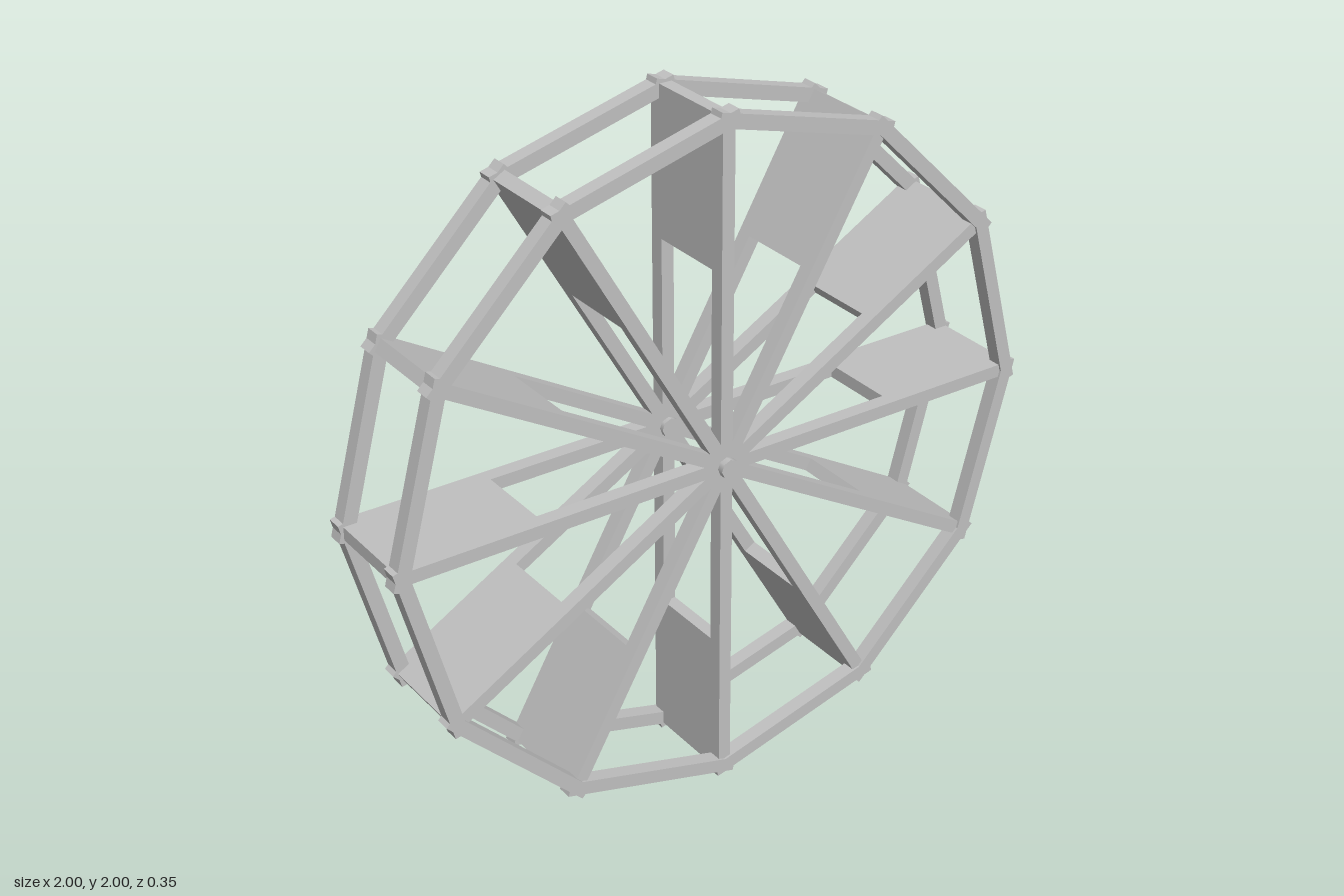
import * as THREE from 'three';

const SIDES = 12;
const STEP = (Math.PI * 2) / SIDES;
const wood = new THREE.MeshStandardMaterial({ color: 0xc0c0c0 });
wood.name = 'plain grey';

function add(parent, name, geometry, x = 0, y = 0, z = 0) {
  const mesh = new THREE.Mesh(geometry, wood);
  mesh.name = name;
  mesh.position.set(x, y, z);
  parent.add(mesh);
  return mesh;
}

// Flat frame across the whole wheel: two spokes joined by a paddle at each end
function paddleFrameGeometry(thickness) {
  const rect = (target, w, h) => {
    target.moveTo(-w, -h);
    target.lineTo(w, -h);
    target.lineTo(w, h);
    target.lineTo(-w, h);
    target.closePath();
    return target;
  };
  const shape = rect(new THREE.Shape(), 0.985, 0.157);
  shape.holes.push(rect(new THREE.Path(), 0.56, 0.113));
  const geometry = new THREE.ExtrudeGeometry(shape, { depth: thickness, bevelEnabled: false });
  geometry.translate(0, 0, -thickness / 2);
  geometry.rotateX(Math.PI / 2); // frame width runs along the axle
  return geometry;
}

export function createModel() {
  const model = new THREE.Group();
  model.name = 'waterWheel';
  const wheel = new THREE.Group();
  wheel.name = 'wheel';
  wheel.position.y = 1;
  model.add(wheel);

  // Spokes and paddles, one frame per diameter
  const frame = paddleFrameGeometry(0.038);
  for (let i = 0; i < SIDES / 2; i++) {
    add(wheel, 'paddleFrame', frame).rotation.z = i * STEP;
  }

  // Front and back rims of straight beams that overlap at the corners
  const beam = new THREE.BoxGeometry(0.04, 0.566, 0.044);
  const stub = new THREE.CylinderGeometry(0.028, 0.028, 0.075, 8);
  stub.rotateX(Math.PI / 2);
  for (const side of [1, -1]) {
    for (let i = 0; i < SIDES; i++) {
      const a = (i + 0.5) * STEP;
      add(wheel, 'rimBeam', beam, Math.cos(a) * 0.939, Math.sin(a) * 0.939, side * 0.141).rotation.z = a;
    }
    // Axle pin through the hub
    add(wheel, 'axlePin', stub, 0, 0, side * 0.138);
  }
  return model;
}
